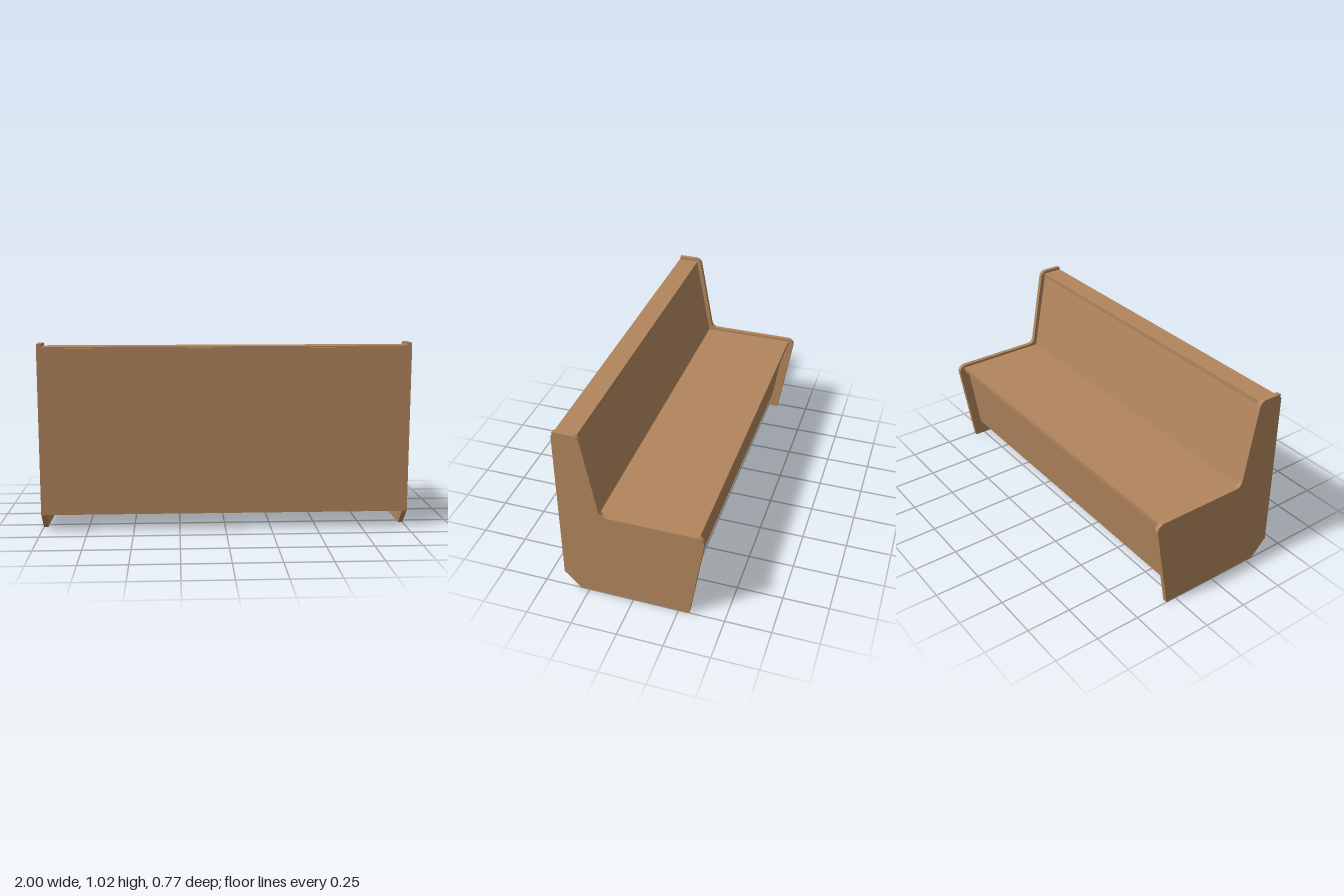
import * as THREE from 'three';

export function createModel() {
  const group = new THREE.Group();
  group.name = 'bench';
  const wood = new THREE.MeshStandardMaterial({ color: 0xb3865d });
  wood.name = 'wood';

  // Extrudes a (z, y) outline along x, centred on x
  function slab(name, shape, width, x = 0) {
    const geo = new THREE.ExtrudeGeometry(shape, { depth: width, bevelEnabled: false, curveSegments: 8 });
    geo.translate(0, 0, -width / 2);
    geo.rotateY(-Math.PI / 2); // shape x -> z, depth -> -x
    const mesh = new THREE.Mesh(geo, wood);
    mesh.name = name;
    mesh.position.x = x;
    group.add(mesh);
  }
  const poly = (pts) => new THREE.Shape(pts.map(([z, y]) => new THREE.Vector2(z, y)));

  // End panel outline with rounded corners
  const end = new THREE.Shape();
  end.moveTo(0.38, 0.088);
  end.lineTo(0.38, 1.016);
  end.lineTo(0.28, 1.016);
  end.bezierCurveTo(0.26, 1.016, 0.244, 1.003, 0.241, 0.983);
  end.lineTo(0.168, 0.57);
  end.bezierCurveTo(0.164, 0.548, 0.148, 0.535, 0.125, 0.535);
  end.lineTo(-0.345, 0.535);
  end.bezierCurveTo(-0.37, 0.535, -0.389, 0.515, -0.386, 0.491);
  end.lineTo(-0.309, 0);
  end.lineTo(0.296, 0);
  end.closePath();
  for (const s of [-1, 1]) slab(s > 0 ? 'leftEndPanel' : 'rightEndPanel', end, 0.025, s * 0.9875);

  const inner = 1.95;
  // Thin sheet covering the whole rear
  slab('rearPanel', poly([[0.38, 0.09], [0.387, 0.09], [0.387, 0.993], [0.38, 0.993]]), 2);
  slab('seat', poly([[-0.355, 0.495], [0.38, 0.495], [0.38, 0.52], [-0.355, 0.52]]), inner);
  slab('topRail', poly([[0.265, 0.975], [0.38, 0.975], [0.38, 1], [0.265, 1]]), inner);
  // Sloping boards
  slab('backrest', poly([[0.18, 0.52], [0.205, 0.52], [0.29, 0.975], [0.265, 0.975]]), inner);
  slab('kickBoard', poly([[-0.27, 0.09], [-0.245, 0.09], [-0.305, 0.495], [-0.332, 0.495]]), inner);
  return group;
}
